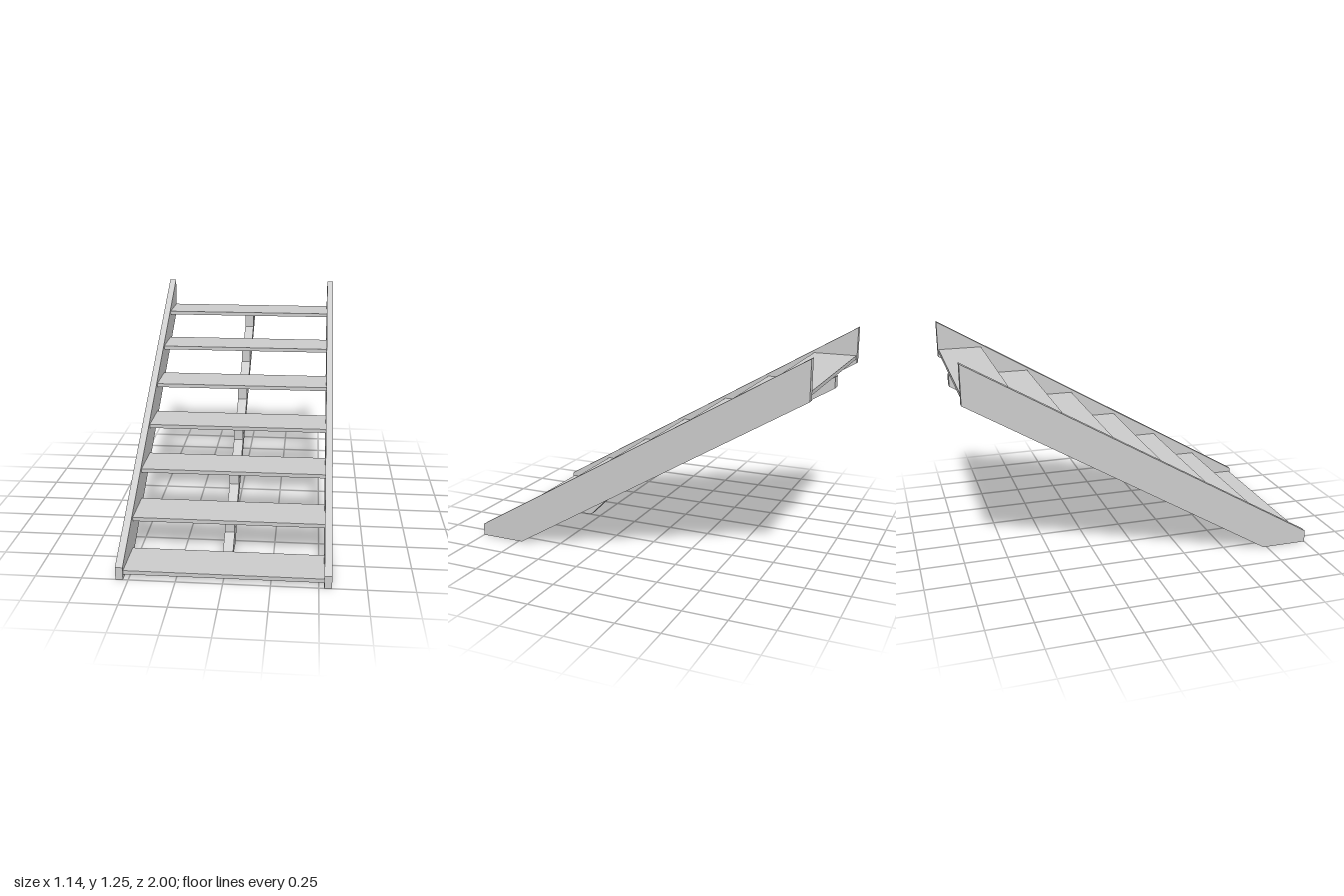
import * as THREE from 'three';

const material = new THREE.MeshStandardMaterial({ color: 0xcccccc, flatShading: true });

// Side profile of [z, y] points, given thickness along x and centred at x
function plank(name, points, thickness, x) {
  const shape = new THREE.Shape(points.map(([z, y]) => new THREE.Vector2(z, y)));
  const geometry = new THREE.ExtrudeGeometry(shape, { depth: thickness, bevelEnabled: false });
  geometry.translate(0, 0, -thickness / 2).rotateY(-Math.PI / 2);
  const mesh = new THREE.Mesh(geometry, material);
  mesh.name = name;
  mesh.position.x = x;
  return mesh;
}

function box(name, w, h, d, y, z) {
  const mesh = new THREE.Mesh(new THREE.BoxGeometry(w, h, d), material);
  mesh.name = name;
  mesh.position.set(0, y, z);
  return mesh;
}

export function createModel() {
  const stairs = new THREE.Group();
  stairs.name = 'openStaircase';

  // Side stringers
  const side = [[1, 0], [1, 0.07], [-1, 1.25], [-1, 1.032], [0.73, 0]];
  for (const s of [1, -1]) {
    stairs.add(plank(s > 0 ? 'leftStringer' : 'rightStringer', side, 0.04, s * 0.548));
  }

  // Central beam with its angled foot
  const beamTop = z => 1.055 - 0.595 * (z + 1);
  const beam = [[0.72, 0.013], [0.72, beamTop(0.72)], [-1, beamTop(-1)], [-1, 0.99], [0.43, 0.133], [0.55, 0.013]];
  stairs.add(plank('centreBeam', beam, 0.056, 0));

  // Treads, each above the first carried by a short post on the beam
  const thickness = 0.022;
  for (let i = 0; i < 7; i++) {
    const y = 0.038 + i * 0.1715;
    const z = 0.861 - i * 0.2877;
    stairs.add(box('tread', 1.056, thickness, 0.26, y, z));
    if (i > 0) {
      const top = y - thickness / 2;
      const bottom = beamTop(z) - 0.03;
      stairs.add(box('treadPost', 0.055, top - bottom, 0.055, (top + bottom) / 2, z));
    }
  }
  return stairs;
}
